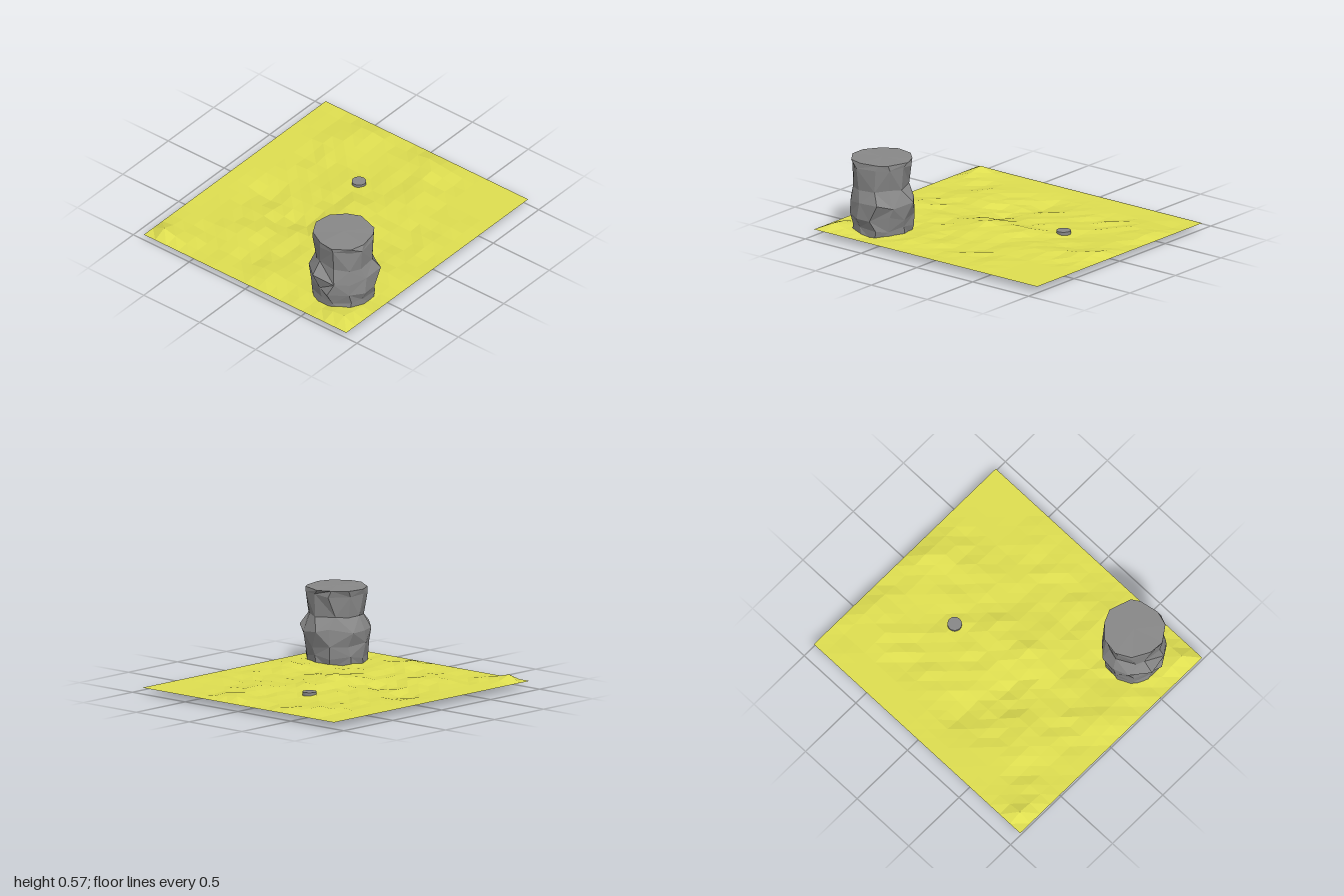
import * as THREE from 'three';

// Small repeatable noise in [-1, 1]
function hash(i, j) {
  const s = Math.sin(i * 127.1 + j * 311.7 + 4.2) * 43758.5453;
  return (s - Math.floor(s)) * 2 - 1;
}

const yellow = new THREE.MeshStandardMaterial({ color: 0xdede50, flatShading: true, side: THREE.DoubleSide });
const grey = new THREE.MeshStandardMaterial({ color: 0x888888, flatShading: true });

// Hills and hollows: x, z, height, radius
const BUMPS = [
  [-0.9, 0.78, 0.05, 0.13], [-0.9, -0.78, 0.045, 0.13], [-0.1, 0.1, 0.045, 0.17],
  [0.2, 0.05, 0.025, 0.15], [0.85, -0.45, 0.03, 0.16], [0.85, 0.15, 0.03, 0.16],
  [0.5, 0.3, 0.02, 0.15], [-0.55, -0.4, 0.02, 0.16], [-0.3, 0.7, 0.02, 0.15],
  [-0.85, 0.1, 0.03, 0.15], [-0.2, -0.22, -0.035, 0.15], [-0.1, -0.53, -0.03, 0.15],
];

function groundHeight(x, z, i, j) {
  if (i === 0 || i === 20 || j === 0 || j === 18) return 0.05;
  let y = 0.05;
  for (const [bx, bz, h, r] of BUMPS) {
    y += h * Math.exp(-((x - bx) ** 2 + (z - bz) ** 2) / (r * r));
  }
  // the back strip and the front corner on the left side stay smooth
  const calm = (z < -0.65 && Math.abs(x) < 0.8) || (x > 0.6 && z > 0.45);
  return calm ? y : y + hash(i, j) * 0.009;
}

function makeGround() {
  const geo = new THREE.PlaneGeometry(2, 1.81, 20, 18).rotateX(-Math.PI / 2);
  const p = geo.attributes.position;
  for (let k = 0; k < p.count; k++) {
    p.setY(k, groundHeight(p.getX(k), p.getZ(k), k % 21, Math.floor(k / 21)));
  }
  geo.computeVertexNormals();
  const mesh = new THREE.Mesh(geo, yellow);
  mesh.name = 'ground';
  return mesh;
}

// Faceted rock column built from uneven rings
function makeRock() {
  const sides = 11;
  // height, radius, radial unevenness, vertical unevenness
  const rings = [
    [0.01, 0.207, 0.008, 0.006], [0.1, 0.212, 0.012, 0.015], [0.18, 0.226, 0.014, 0.02],
    [0.28, 0.243, 0.022, 0.025], [0.38, 0.196, 0.012, 0.01],
    [0.53, 0.213, 0.01, 0.015], [0.575, 0.214, 0.008, 0.003],
  ];
  const pos = [], idx = [];
  rings.forEach(([y, r, dr, dy], j) => {
    for (let i = 0; i < sides; i++) {
      const a = ((i + 0.25 * hash(i, j + 9)) / sides) * Math.PI * 2;
      const rr = r + dr * hash(i, j + 20);
      pos.push(rr * Math.cos(a), y + dy * hash(i, j + 40), -rr * Math.sin(a));
    }
  });
  for (let j = 0; j < rings.length - 1; j++) {
    for (let i = 0; i < sides; i++) {
      const a = j * sides + i, b = j * sides + (i + 1) % sides;
      const c = a + sides, d = b + sides;
      if ((i + j) % 2) idx.push(a, b, d, a, d, c);
      else idx.push(a, b, c, b, d, c);
    }
  }
  // end caps
  const bottom = pos.length / 3, top = bottom + 1, last = (rings.length - 1) * sides;
  pos.push(0, 0.008, 0, 0, 0.577, 0);
  for (let i = 0; i < sides; i++) {
    const n = (i + 1) % sides;
    idx.push(bottom, n, i, top, last + i, last + n);
  }
  const geo = new THREE.BufferGeometry();
  geo.setAttribute('position', new THREE.Float32BufferAttribute(pos, 3));
  geo.setIndex(idx);
  geo.computeVertexNormals();
  const mesh = new THREE.Mesh(geo, grey);
  mesh.name = 'rockColumn';
  mesh.position.set(-0.645, 0, 0.59);
  return mesh;
}

// Small round disc set into the ground
function makeDisc() {
  const geo = new THREE.CylinderGeometry(0.05, 0.05, 0.03, 32);
  const mesh = new THREE.Mesh(geo, new THREE.MeshStandardMaterial({ color: 0x888888 }));
  mesh.name = 'disc';
  mesh.position.set(0.4, 0.06, -0.12);
  return mesh;
}

export function createModel() {
  const group = new THREE.Group();
  group.name = 'rockOnGround';
  group.add(makeGround(), makeRock(), makeDisc());
  return group;
}
